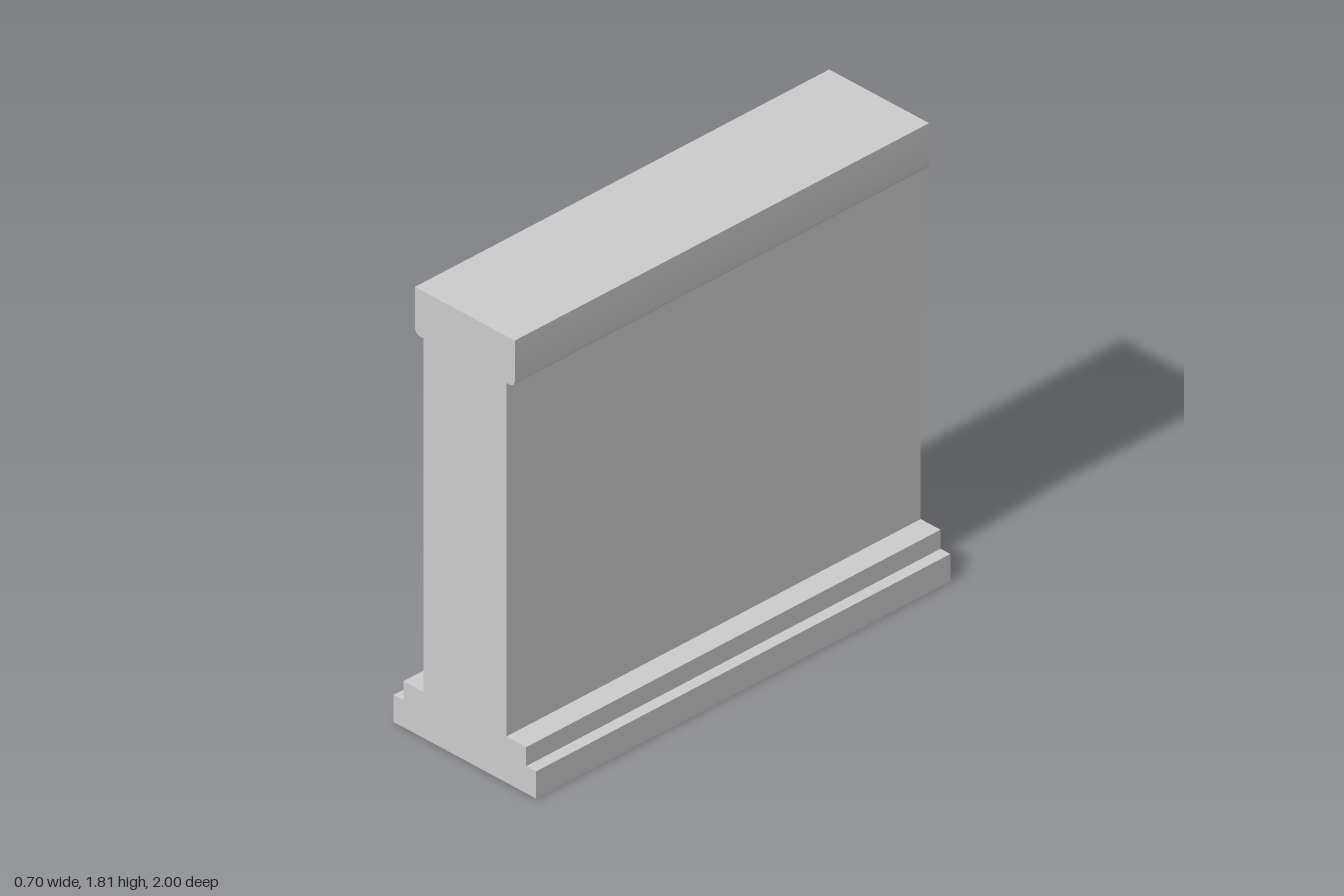
import * as THREE from 'three';
import { toCreasedNormals } from 'three/addons/utils/BufferGeometryUtils.js';

const LENGTH = 2;

export function createModel() {
  const group = new THREE.Group();
  group.name = 'wallSection';
  const material = new THREE.MeshStandardMaterial({ color: 0xcccccc });

  const add = (name, geometry, y = 0) => {
    const mesh = new THREE.Mesh(geometry, material);
    mesh.name = name;
    mesh.position.y = y;
    group.add(mesh);
  };

  // Stacked courses: name, half width, bottom, top
  const courses = [
    ['plinth', 0.348, 0, 0.11],
    ['plinthStep', 0.3, 0.11, 0.187],
    ['wall', 0.203, 0.187, 1.62],
  ];
  for (const [name, half, bottom, top] of courses) {
    add(name, new THREE.BoxGeometry(half * 2, top - bottom, LENGTH), (bottom + top) / 2);
  }

  // Coping with rounded lower edges, run along the wall
  const half = 0.244, bottom = 1.62, top = 1.81, r = 0.026;
  const profile = new THREE.Shape();
  profile.moveTo(-half + r, bottom);
  profile.lineTo(half - r, bottom);
  profile.absarc(half - r, bottom + r, r, -Math.PI / 2, 0, false);
  profile.lineTo(half, top);
  profile.lineTo(-half, top);
  profile.lineTo(-half, bottom + r);
  profile.absarc(-half + r, bottom + r, r, Math.PI, Math.PI * 1.5, false);
  const coping = new THREE.ExtrudeGeometry(profile, { depth: LENGTH, bevelEnabled: false, curveSegments: 6 });
  coping.translate(0, 0, -LENGTH / 2);
  add('coping', toCreasedNormals(coping, Math.PI / 6));

  return group;
}
